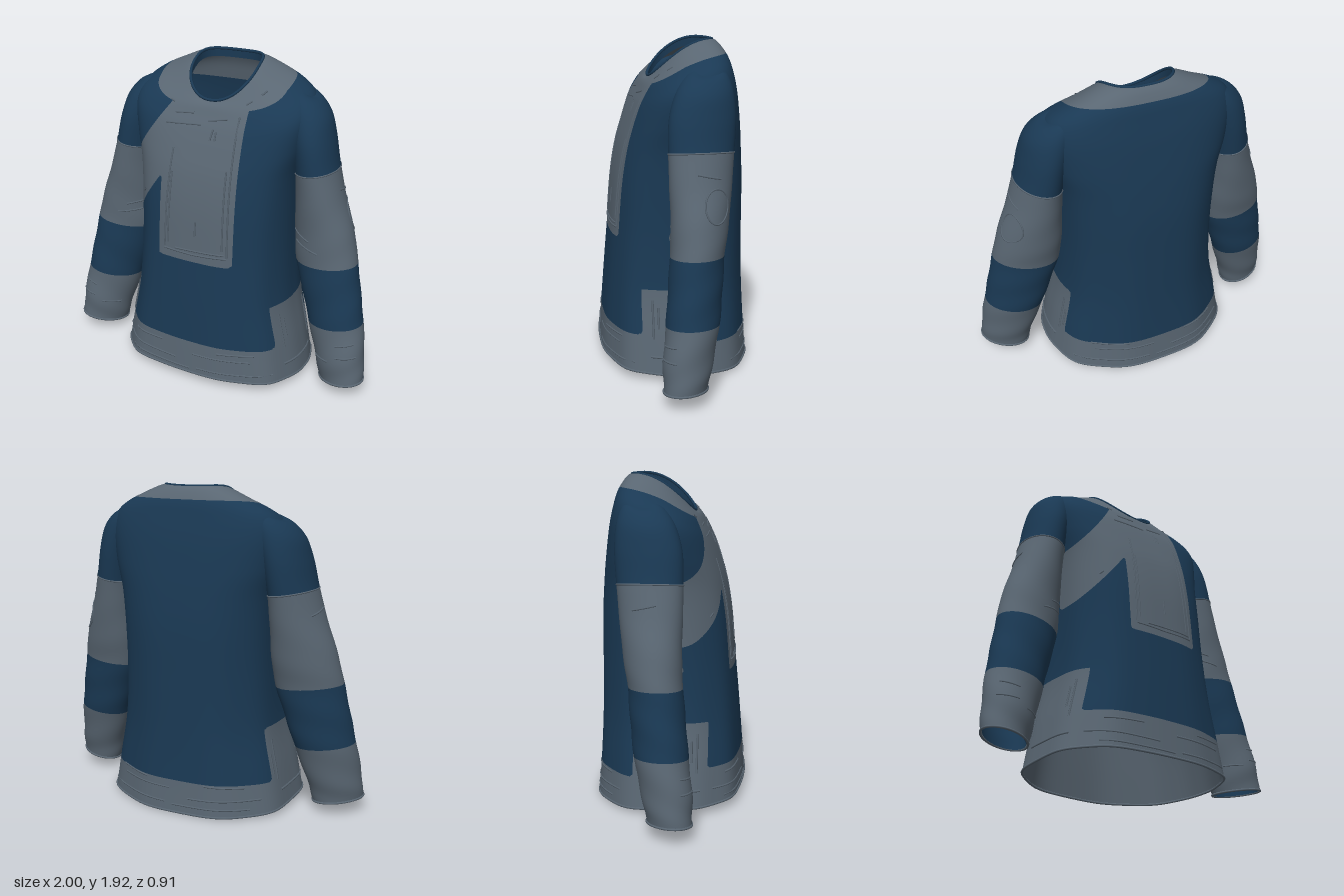
import * as THREE from 'three';

const mat = (name, color) => {
  const m = new THREE.MeshStandardMaterial({ color, side: THREE.DoubleSide });
  m.name = name;
  return m;
};

// Smooth sampling of a table of cross-sections
function sampler(rows) {
  const k = rows[0].length;
  const c = new THREE.CubicInterpolant(rows.map((_, i) => i), rows.flat(), k, new Float32Array(k));
  return t => Array.from(c.evaluate(Math.min(t, rows.length - 1)));
}

// Closed tube of rings: fn(t, angle) gives a point
function ringGeometry(fn, t0, t1, rows, cols, flip = false) {
  const pos = [], uv = [], idx = [];
  for (let i = 0; i <= rows; i++) for (let j = 0; j < cols; j++) {
    const t = t0 + (t1 - t0) * i / rows;
    pos.push(...fn(t, j / cols * Math.PI * 2).toArray());
    uv.push(j / cols, t);
    if (i === rows) continue;
    const a = i * cols + j, b = i * cols + (j + 1) % cols, c = a + cols, d = b + cols;
    idx.push(...(flip ? [a, b, c, b, d, c] : [a, c, b, b, c, d]));
  }
  const g = new THREE.BufferGeometry();
  g.setAttribute('position', new THREE.Float32BufferAttribute(pos, 3));
  g.setAttribute('uv', new THREE.Float32BufferAttribute(uv, 2));
  g.setIndex(idx);
  g.computeVertexNormals();
  return g;
}

// Cut a surface cleanly along rule(p, t) = 0; returns [inside, outside]
function cutSurface(geo, rule) {
  const src = geo.toNonIndexed(), P = src.attributes.position, N = src.attributes.normal, U = src.attributes.uv;
  const out = [[], []];
  for (let i = 0; i < P.count; i += 3) {
    const tri = [0, 1, 2].map(k => {
      const p = new THREE.Vector3().fromBufferAttribute(P, i + k);
      return { p, n: new THREE.Vector3().fromBufferAttribute(N, i + k), f: rule(p, U.getY(i + k)) };
    });
    [1, -1].forEach((s, side) => {
      const poly = [];
      tri.forEach((a, k) => {
        const b = tri[(k + 1) % 3];
        if (a.f * s <= 0) poly.push(a);
        if (a.f * b.f < 0) {
          const w = a.f / (a.f - b.f);
          poly.push({ p: a.p.clone().lerp(b.p, w), n: a.n.clone().lerp(b.n, w).normalize() });
        }
      });
      for (let k = 1; k + 1 < poly.length; k++) out[side].push(poly[0], poly[k], poly[k + 1]);
    });
  }
  return out.map(list => {
    const g = new THREE.BufferGeometry();
    g.setAttribute('position', new THREE.Float32BufferAttribute(list.flatMap(v => v.p.toArray()), 3));
    g.setAttribute('normal', new THREE.Float32BufferAttribute(list.flatMap(v => v.n.toArray()), 3));
    return g;
  });
}

export function createModel() {
  const model = new THREE.Group();
  model.name = 'tunic';
  const blue = mat('blueCloth', 0x1a3954), grey = mat('greyCloth', 0x596672);
  const add = (name, geo, m) => {
    const mesh = new THREE.Mesh(geo, m);
    mesh.name = name;
    model.add(mesh);
  };

  // Torso rings: front y, back y, side y, half width, front z, back z
  const torsoAt = sampler([
    [0.05, 0.00, 0.03, 0.59, 0.445, -0.445],
    [0.26, 0.24, 0.25, 0.55, 0.43, -0.43],
    [0.52, 0.50, 0.51, 0.50, 0.41, -0.42],
    [0.80, 0.80, 0.80, 0.48, 0.385, -0.415],
    [1.08, 1.08, 1.08, 0.48, 0.36, -0.41],
    [1.28, 1.28, 1.30, 0.495, 0.325, -0.395],
    [1.43, 1.45, 1.47, 0.535, 0.28, -0.375],
    [1.55, 1.62, 1.63, 0.56, 0.235, -0.35],
    [1.62, 1.74, 1.725, 0.535, 0.20, -0.325],
    [1.66, 1.82, 1.785, 0.45, 0.18, -0.305],
    [1.68, 1.88, 1.83, 0.33, 0.165, -0.275],
    [1.69, 1.908, 1.865, 0.24, 0.15, -0.25],
    [1.70, 1.912, 1.873, 0.205, 0.14, -0.235],
  ]);
  // Roundness of each ring changes with height, separately for chest and back
  const { lerp, smoothstep } = THREE.MathUtils;
  const torsoPoint = (t, a) => {
    const [yf, yb, ys, w, zf, zb] = torsoAt(t);
    const e = Math.sin(a) > 0 ? lerp(0.7, 0.92, smoothstep(t, 7, 11)) : lerp(0.88, 0.74, smoothstep(t, 2, 6));
    const pw = v => Math.sign(v) * Math.abs(v) ** e;
    const c = pw(Math.cos(a)), s = pw(Math.sin(a));
    const fold = 1 + 0.01 * Math.sin(9 * a + 1) * Math.max(0, 1 - t / 6);
    const mid = (yf + yb) / 2;
    return new THREE.Vector3(w * c * fold,
      mid + (yf - yb) / 2 * s + (ys - mid) * (1 - s * s),
      (zf + zb) / 2 + (zf - zb) / 2 * s * fold);
  };
  const torso = ringGeometry(torsoPoint, 0, 12, 96, 128);

  // Grey trim: collar, chest panel, diagonal strap, hem with raised side vents
  const trim = (p, t) => Math.min(
    (9.3 - 2.2 * Math.max(0, p.z) - t) * 0.1,
    Math.max(Math.abs(p.x - 0.005) - 0.243, 0.78 - p.y, -p.z),
    Math.max((p.y - 1.7 - 1.4 * (p.x + 0.22)) * 0.6, (1.27 + 1.35 * (p.x + 0.24) - p.y) * 0.6, p.x + 0.2, -p.z),
    p.y - (p.z > 0 ? 0.26 : 0.2),
    Math.max(p.y - 0.52, p.z - 0.26, -0.17 - p.z));
  const [trimGeo, clothGeo] = cutSurface(torso, trim);
  add('torsoTrim', trimGeo, grey);
  add('torsoCloth', clothGeo, blue);

  // Linings of yoke and hem, facing inside the neck opening and its rolled edge
  const inner = (t, a) => {
    const p = torsoPoint(t, a);
    return p.set(p.x * 0.98, p.y - (t > 6 ? 0.012 : 0), (p.z + 0.06) * 0.97 - 0.06);
  };
  add('yokeLining', ringGeometry(inner, 7.8, 11.6, 16, 64), grey);
  add('hemLining', ringGeometry(inner, 0.05, 1.9, 10, 96), grey);
  add('neckFacing', ringGeometry((t, a) => {
    const p = torsoPoint(12, a);
    return p.setY(p.y - 0.05 * t);
  }, 0, 1, 2, 64, true), blue);
  const closedTube = (fn, r) => new THREE.TubeGeometry(new THREE.CatmullRomCurve3(
    Array.from({ length: 48 }, (_, j) => fn(j / 48 * Math.PI * 2)), true), 96, r, 6, true);
  add('neckEdge', closedTube(a => torsoPoint(12, a), 0.009), blue);
  add('hemEdge', closedTube(a => torsoPoint(0.02, a), 0.007), grey);

  // Sleeve rings: y, inner x, outer x, front z, back z
  const sleeveAt = sampler([
    [0.075, 0.71, 0.995, 0.205, -0.04],
    [0.22, 0.67, 0.985, 0.205, -0.075],
    [0.42, 0.605, 0.955, 0.18, -0.12],
    [0.60, 0.55, 0.92, 0.16, -0.145],
    [0.78, 0.495, 0.885, 0.14, -0.165],
    [0.95, 0.475, 0.845, 0.13, -0.195],
    [1.15, 0.47, 0.775, 0.13, -0.22],
    [1.34, 0.46, 0.72, 0.13, -0.24],
    [1.51, 0.43, 0.685, 0.12, -0.255],
    [1.65, 0.39, 0.65, 0.075, -0.25],
    [1.735, 0.38, 0.595, 0.01, -0.225],
    [1.765, 0.43, 0.53, -0.06, -0.18],
    [1.768, 0.45, 0.46, -0.11, -0.12],
  ]);
  const sleevePoint = (side, inset = 0) => (t, a) => {
    const [y, xi, xo, zf, zb] = sleeveAt(t), c = Math.cos(a), s = Math.sin(a);
    const wrinkle = 0.003 * Math.sin(t * 5 + 2 * a) * Math.max(0, 1 - t / 8);
    return new THREE.Vector3(side * ((xi + xo) / 2 + ((xo - xi) / 2 - inset + wrinkle) * c),
      y + lerp(0.02, -0.03, smoothstep(t, 7, 10)) * c,
      (zf + zb) / 2 + ((zf - zb) / 2 - inset + wrinkle) * s + 0.025 * c);
  };
  const sleeves = {};
  for (const [name, side] of [['left', 1], ['right', -1]]) {
    const point = sleevePoint(side), geo = ringGeometry(point, 0, 12, 72, 48, side < 0);
    const [bands, cloth] = cutSurface(geo, (p, t) => Math.min(t - 2, Math.max(4 - t, t - 6.95)));
    add(name + 'SleeveBands', bands, grey);
    add(name + 'SleeveCloth', cloth, blue);
    add(name + 'SleeveLining', ringGeometry(sleevePoint(side, 0.01), 0, 3, 10, 40, side < 0), blue);
    add(name + 'SleeveSeam', closedTube(a => point(6.93, a), 0.005), grey);
    add(name + 'CuffEdge', closedTube(a => point(0, a), 0.007), grey);
    sleeves[name] = new THREE.Mesh(geo, grey);
  }

  // Raised seams: points (u, y) are dropped onto a surface along one axis
  const ray = new THREE.Raycaster(), torsoMesh = new THREE.Mesh(torso, grey);
  function stitch(name, target, axis, sign, pts, closed = false, r = 0.0055) {
    const path = [];
    const n = closed ? 1 : 6;
    pts.forEach(([u, y], i) => {
      for (let k = 0; k < n; k++) {
        if (i === pts.length - 1 && k) break;
        const [u2, y2] = pts[Math.min(i + 1, pts.length - 1)];
        const uu = u + (u2 - u) * k / n, yy = y + (y2 - y) * k / n;
        const from = axis === 'z' ? new THREE.Vector3(uu, yy, 3 * sign) : new THREE.Vector3(3 * sign, yy, uu);
        ray.set(from, axis === 'z' ? new THREE.Vector3(0, 0, -sign) : new THREE.Vector3(-sign, 0, 0));
        const hit = ray.intersectObject(target)[0];
        if (hit) path.push(hit.point);
      }
    });
    if (path.length < 2) return;
    add(name, new THREE.TubeGeometry(new THREE.CatmullRomCurve3(path, closed), path.length * 3, r, 5, closed), grey);
  }
  // Chest panel border, neck tabs, collar and strap creases
  for (const line of [
    [[-0.195, 0.84], [-0.19, 1.1], [-0.175, 1.43]], [[-0.175, 0.87], [-0.165, 1.3]],
    [[0.215, 0.84], [0.205, 1.64]], [[0.185, 0.88], [0.18, 1.35]],
    [[-0.195, 0.83], [0, 0.825], [0.215, 0.835]], [[-0.12, 0.845], [0.2, 0.855]],
    [[-0.25, 1.56], [-0.02, 1.575]], [[-0.2, 1.62], [-0.08, 1.63]], [[0.02, 1.6], [0.14, 1.62]],
    [[0.05, 1.5], [0.06, 1.56]], [[0.08, 1.5], [0.08, 1.55]], [[0.01, 0.94], [0.012, 1.03]],
    [[-0.39, 1.12], [-0.37, 1.14]], [[0.22, 1.7], [0.25, 1.72]], [[0.29, 1.75], [0.31, 1.77]],
    [[-0.25, 1.68], [-0.22, 1.67]]]) stitch('panelStitch', torsoMesh, 'z', 1, line);
  // Hem rows, front and back
  for (const line of [
    [[-0.42, 0.215], [-0.2, 0.22]], [[0.02, 0.18], [0.38, 0.185]], [[0.18, 0.22], [0.4, 0.23]],
    [[-0.5, 0.14], [-0.1, 0.13]], [[-0.45, 0.085], [0.0, 0.08]], [[0.05, 0.09], [0.5, 0.1]]])
    for (const s of [1, -1]) stitch('hemStitch', torsoMesh, 'z', s, line.map(([u, y]) => [u, y - (s < 0 ? 0.03 : 0)]));
  // Side vents and sleeve creases
  for (const [name, s] of [['left', 1], ['right', -1]]) {
    for (const line of [[[0.2, 0.24], [0.2, 0.46]], [[0.17, 0.3], [0.17, 0.42]], [[-0.12, 0.2], [-0.12, 0.44]],
      [[-0.15, 0.24], [-0.15, 0.36]], [[-0.1, 0.13], [0.22, 0.14]]])
      stitch(name + 'VentStitch', torsoMesh, 'x', s, line, false, 0.007);
    for (const line of [[[0.62, 0.93], [0.5, 0.96]], [[0.68, 0.87], [0.52, 0.9]], [[0.96, 0.27], [0.85, 0.26]],
      [[0.8, 0.22], [0.7, 0.21]], [[0.94, 0.35], [0.84, 0.33]]])
      stitch(name + 'SleeveCrease', sleeves[name], 'z', 1, line.map(([u, y]) => [u * s, y]));
    stitch(name + 'SleeveCrease', sleeves[name], 'x', s, [[0.0, 1.24], [-0.13, 1.21]]);
  }
  // Round patch outline on the left upper sleeve
  stitch('sleevePatch', sleeves.left, 'x', 1, Array.from({ length: 24 }, (_, i) =>
    [-0.1 + 0.07 * Math.cos(i / 12 * Math.PI), 1.07 + 0.09 * Math.sin(i / 12 * Math.PI)]), true);

  return model;
}
